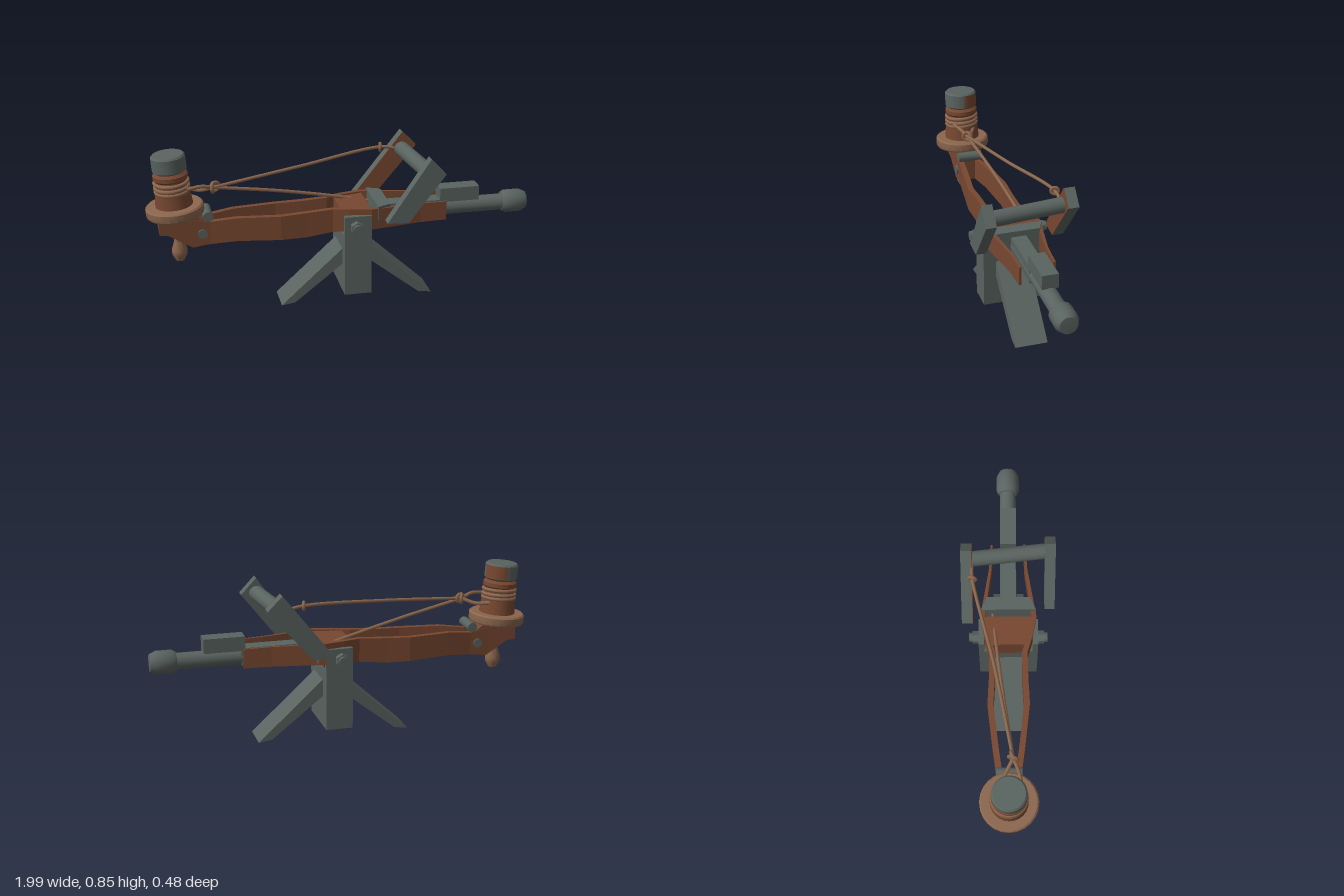
import * as THREE from 'three';
import { toCreasedNormals } from 'three/addons/utils/BufferGeometryUtils.js';

const mat = (name, color) => {
  const m = new THREE.MeshStandardMaterial({ color });
  m.name = name;
  return m;
};

export function createModel() {
  const root = new THREE.Group();
  const iron = mat('grey iron', 0x59635f);
  const wood = mat('brown wood', 0x774730);
  const tan = mat('tan rope and trim', 0x8b664d);

  const add = (name, geo, material, parent = root) => {
    const m = new THREE.Mesh(geo, material);
    m.name = name;
    parent.add(m);
    return m;
  };
  const box = (name, x0, x1, y0, y1, z0, z1, material) =>
    add(name, new THREE.BoxGeometry(x1 - x0, y1 - y0, z1 - z0), material)
      .position.set((x0 + x1) / 2, (y0 + y1) / 2, (z0 + z1) / 2);
  // Side outline in x, y extruded from z0 to z1
  const plate = (name, pts, z0, z1, material) => {
    const shape = new THREE.Shape(pts.map(p => new THREE.Vector2(...p)));
    const g = new THREE.ExtrudeGeometry(shape, { depth: z1 - z0, bevelEnabled: false });
    return add(name, g.translate(0, 0, z0), material);
  };
  const lathe = (name, pts, material, parent) => add(name, toCreasedNormals(
    new THREE.LatheGeometry(pts.map(p => new THREE.Vector2(...p)), 24), 0.6), material, parent);
  // Cylinder between two points
  const rod = (name, a, b, r, sides, material) => {
    const A = new THREE.Vector3(...a), B = new THREE.Vector3(...b), d = B.clone().sub(A);
    const g = toCreasedNormals(new THREE.CylinderGeometry(r, r, d.length(), sides), 0.7);
    const m = add(name, g, material);
    m.position.copy(A).add(B).multiplyScalar(0.5);
    m.quaternion.setFromUnitVectors(new THREE.Vector3(0, 1, 0), d.normalize());
    return m;
  };
  const rope = (name, pts, r = 0.009) => add(name, new THREE.TubeGeometry(
    new THREE.CatmullRomCurve3(pts.map(p => new THREE.Vector3(...p))), 32, r, 7), tan);
  // Rectangular cross-sections [x, y0, y1, zA, zB] joined along x
  const loft = (name, sections, material) => {
    const pos = [];
    const rings = sections.map(([x, y0, y1, a, b]) => {
      const n = Math.min(a, b), f = Math.max(a, b);
      return [[x, y0, n], [x, y1, n], [x, y1, f], [x, y0, f]];
    });
    const quad = (a, b, c, d) => [a, b, c, a, c, d].forEach(p => pos.push(...p));
    for (let i = 0; i < rings.length - 1; i++) {
      const A = rings[i], B = rings[i + 1];
      for (let k = 0; k < 4; k++) quad(A[k], A[(k + 1) % 4], B[(k + 1) % 4], B[k]);
    }
    quad(...rings[0].slice().reverse());
    quad(...rings[rings.length - 1]);
    const g = new THREE.BufferGeometry();
    g.setAttribute('position', new THREE.Float32BufferAttribute(pos, 3));
    g.computeVertexNormals();
    return add(name, g, material);
  };

  // Stand: post with a forked top and two splayed legs
  box('post', -0.01, 0.13, 0.06, 0.38, -0.153, 0.153, iron);
  for (const s of [1, -1]) {
    box('postCheek', -0.01, 0.13, 0.38, 0.49, s > 0 ? 0.125 : -0.153, s > 0 ? 0.153 : -0.125, iron);
    rod('pivotNut', [0.05, 0.435, s * 0.15], [0.05, 0.435, s * 0.185], 0.034, 6, iron);
    rod('pivotBolt', [0.05, 0.435, s * 0.18], [0.05, 0.435, s * 0.203], 0.025, 10, iron);
    const legX = x => 0.07 + s * x;
    const pts = [[legX(0.40), 0], [legX(0.33), 0.01], [legX(0.05), 0.23], [legX(0.05), 0.32]];
    plate('leg', s > 0 ? pts.reverse() : pts, -0.083, 0.087, iron);
  }

  // Beam: two shaped side planks [x, bottom, top, outer z, thickness]
  const plank = [
    [-0.78, 0.36, 0.51, 0.062, 0.03], [-0.68, 0.37, 0.49, 0.064, 0.03],
    [-0.55, 0.382, 0.505, 0.082, 0.03], [-0.33, 0.378, 0.505, 0.107, 0.03],
    [-0.2, 0.378, 0.51, 0.1, 0.03], [-0.06, 0.395, 0.518, 0.097, 0.028],
    [0.02, 0.4, 0.52, 0.122, 0.028], [0.13, 0.41, 0.52, 0.145, 0.026],
    [0.22, 0.41, 0.517, 0.13, 0.02], [0.4, 0.41, 0.513, 0.1, 0.014],
    [0.54, 0.41, 0.51, 0.092, 0.012],
  ];
  for (const s of [1, -1]) {
    loft('sidePlank', plank.map(([x, y0, y1, z, t]) => [x, y0, y1, s * z, s * (z - t)]), wood);
    rod('plankBolt', [-0.72, 0.43, s * 0.05], [-0.72, 0.43, s * 0.073], 0.024, 12, iron);
  }
  loft('pivotBlock', [[-0.02, 0.39, 0.512, -0.09, 0.09], [0.135, 0.39, 0.512, -0.125, 0.125]], wood);
  plate('endBlock', [[-0.935, 0.435], [-0.89, 0.43], [-0.77, 0.356], [-0.7, 0.368], [-0.7, 0.49],
    [-0.76, 0.53], [-0.935, 0.525]], -0.06, 0.06, wood);
  rod('ropeRoller', [-0.69, 0.517, -0.065], [-0.69, 0.517, 0.065], 0.026, 12, iron);

  // Long bar with capped end and top block
  loft('collar', [[0.165, 0.42, 0.53, -0.142, 0.142], [0.235, 0.42, 0.53, -0.112, 0.112]], iron);
  box('innerBar', 0.23, 0.54, 0.41, 0.5, -0.04, 0.04, iron);
  rod('bar', [0.2, 0.448, 0], [0.9, 0.448, 0], 0.043, 20, iron);
  lathe('barCap', [[0, 0], [0.048, 0], [0.06, 0.02], [0.06, 0.1], [0.045, 0.132], [0, 0.135]], iron)
    .rotation.z = -Math.PI / 2;
  root.children[root.children.length - 1].position.set(0.865, 0.45, 0);
  box('topBlock', 0.52, 0.73, 0.487, 0.562, -0.042, 0.042, iron);

  // Tilted arms joined by a crossbar
  const backArm = [[0.11, 0.48], [0.22, 0.47], [0.445, 0.735], [0.37, 0.81]];
  plate('frontArm', [[0.19, 0.475], [0.3, 0.47], [0.49, 0.715], [0.41, 0.8]], 0.187, 0.24, iron);
  plate('backArm', backArm, -0.24, -0.186, iron);
  plate('backArmInnerFace', backArm, -0.186, -0.182, wood);
  rod('crossbar', [0.365, 0.718, -0.2], [0.41, 0.718, 0.2], 0.04, 16, iron);

  // Winding drum, slightly tilted, with rim, coils, cap and handle
  const drum = new THREE.Group();
  drum.name = 'drum';
  drum.position.set(-0.848, 0.55, 0);
  drum.rotation.z = 0.08;
  root.add(drum);
  lathe('drumRim', [[0, -0.027], [0.14, -0.027], [0.146, -0.018], [0.146, 0.018], [0.138, 0.026],
    [0, 0.026]], tan, drum);
  lathe('drumBody', [[0.095, 0.02], [0.088, 0.1], [0.08, 0.16], [0.088, 0.17], [0.088, 0.19],
    [0.072, 0.205], [0.072, 0.22]], wood, drum);
  for (const y of [0.105, 0.125, 0.15]) {
    const coil = add('ropeCoil', new THREE.TorusGeometry(0.083, 0.01, 8, 32), tan, drum);
    coil.position.y = y;
    coil.rotation.x = Math.PI / 2 + 0.05;
  }
  const capSide = (name, start, sweep, material) => {
    const g = new THREE.CylinderGeometry(0.086, 0.086, 0.07, 24, 1, true, start, sweep);
    add(name, g, material, drum).position.y = 0.248;
  };
  capSide('drumCapSide', Math.PI, Math.PI * 1.5, iron);
  capSide('drumCapWoodSide', Math.PI / 2, Math.PI / 2, wood);
  lathe('drumCapTop', [[0.086, 0.283], [0.078, 0.292], [0, 0.292]], iron, drum);
  lathe('drumCapBase', [[0, 0.203], [0.074, 0.203], [0.086, 0.213]], iron, drum);
  const handle = lathe('handle', [[0, 0], [0.022, 0.004], [0.038, 0.035], [0.04, 0.06], [0.028, 0.1],
    [0.026, 0.13], [0.035, 0.16], [0.035, 0.19]], tan);
  handle.position.set(-0.835, 0.268, 0);

  // Ropes and knots
  const knot = [-0.655, 0.657, 0.02];
  rope('drumRopeA', [[-0.79, 0.67, 0.06], [-0.72, 0.675, 0.045], knot], 0.01);
  rope('drumRopeB', [[-0.79, 0.64, -0.05], [-0.72, 0.635, -0.015], knot], 0.01);
  rope('upperRope', [knot, [-0.2, 0.702, -0.07], [0.25, 0.737, -0.18], [0.35, 0.72, -0.183]]);
  rope('lowerRope', [knot, [-0.3, 0.59, -0.03], [0.03, 0.515, -0.068], [0.16, 0.48, -0.08]]);
  const knotLoop = (x, y, z, r, ry) => {
    const m = add('knot', new THREE.TorusGeometry(r, 0.009, 7, 14), tan);
    m.position.set(x, y, z);
    m.rotation.y = ry;
  };
  knotLoop(...knot, 0.024, 1.2);
  knotLoop(-0.645, 0.66, 0.015, 0.022, 0.3);
  knotLoop(0.25, 0.737, -0.18, 0.018, 1.3);
  return root;
}
